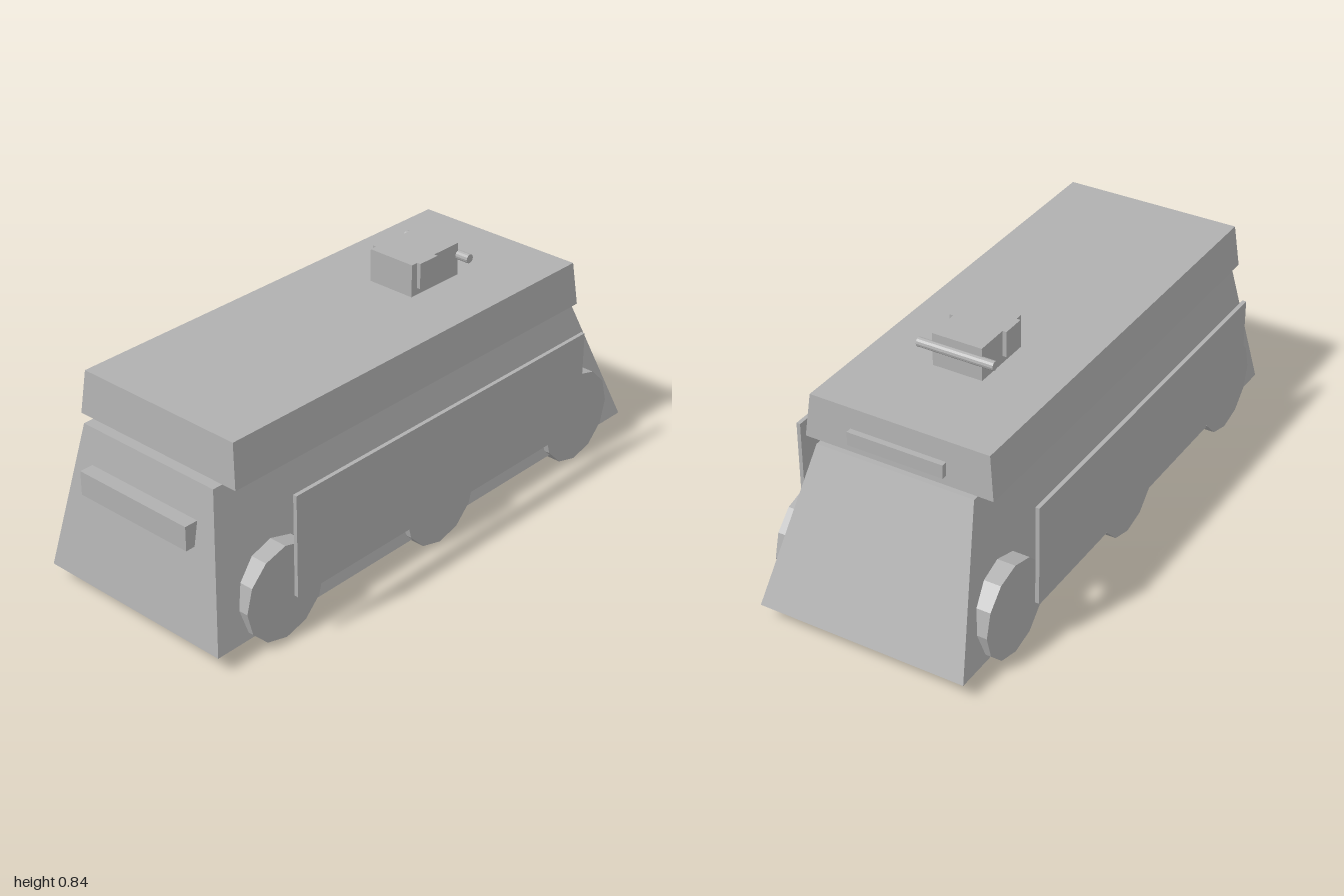
import * as THREE from 'three';

const grey = new THREE.MeshStandardMaterial({ color: 0xb0b0b0, flatShading: true });
grey.name = 'plain grey';

// Box from its limits on each axis
function block(name, [x0, x1], [y0, y1], [z0, z1]) {
  const mesh = new THREE.Mesh(new THREE.BoxGeometry(x1 - x0, y1 - y0, z1 - z0), grey);
  mesh.position.set((x0 + x1) / 2, (y0 + y1) / 2, (z0 + z1) / 2);
  mesh.name = name;
  return mesh;
}

// Box with sloping sides; bottom and top are { y, x: [min, max], z: half width }
function taperedBlock(name, bottom, top) {
  const geometry = new THREE.BoxGeometry(1, 1, 1);
  const p = geometry.attributes.position;
  for (let i = 0; i < p.count; i++) {
    const end = p.getY(i) > 0 ? top : bottom;
    p.setXYZ(i, end.x[p.getX(i) > 0 ? 1 : 0], end.y, Math.sign(p.getZ(i)) * end.z);
  }
  geometry.computeVertexNormals();
  const mesh = new THREE.Mesh(geometry, grey);
  mesh.name = name;
  return mesh;
}

// Twelve-sided cylinder lying along z
function roller(name, radius, length, x, y, z) {
  const geometry = new THREE.CylinderGeometry(radius, radius, length, 12).rotateX(Math.PI / 2);
  const mesh = new THREE.Mesh(geometry, grey);
  mesh.position.set(x, y, z);
  mesh.name = name;
  return mesh;
}

export function createModel() {
  const model = new THREE.Group();
  model.name = 'armouredVehicle';

  // Body: sloping hull with a wider cabin on top
  model.add(
    taperedBlock('hull', { y: 0.06, x: [-1, 1], z: 0.375 }, { y: 0.575, x: [-0.91, 0.78], z: 0.284 }),
    taperedBlock('cabin', { y: 0.575, x: [-0.873, 0.76], z: 0.339 }, { y: 0.727, x: [-0.861, 0.749], z: 0.322 })
  );

  // Raised bars on both ends
  model.add(
    block('visionSlit', [0.745, 0.775], [0.607, 0.655], [-0.172, 0.172]),
    block('endBar', [-0.98, -0.93], [0.37, 0.455], [-0.233, 0.233])
  );

  // Wheels and floating side plates, mirrored
  for (const side of [-1, 1]) {
    for (const x of [-0.722, 0, 0.722]) {
      model.add(roller('wheel', 0.167, 0.097, x, 0.167, side * 0.342));
    }
    const plate = block('sidePlate', [-0.725, 0.67], [0.173, 0.533], [-0.007, 0.007]);
    plate.position.z = side * 0.436;
    model.add(plate);
  }

  // Roof unit with cheek blocks and a cross rod
  const roofUnit = new THREE.Group();
  roofUnit.name = 'roofUnit';
  roofUnit.add(
    block('roofBox', [0.187, 0.419], [0.727, 0.843], [-0.09, 0.09]),
    block('leftCheek', [0.213, 0.298], [0.752, 0.843], [0.08, 0.104]),
    block('rightCheek', [0.213, 0.298], [0.752, 0.843], [-0.104, -0.08]),
    roller('crossRod', 0.016, 0.278, 0.422, 0.799, 0)
  );
  model.add(roofUnit);
  return model;
}
